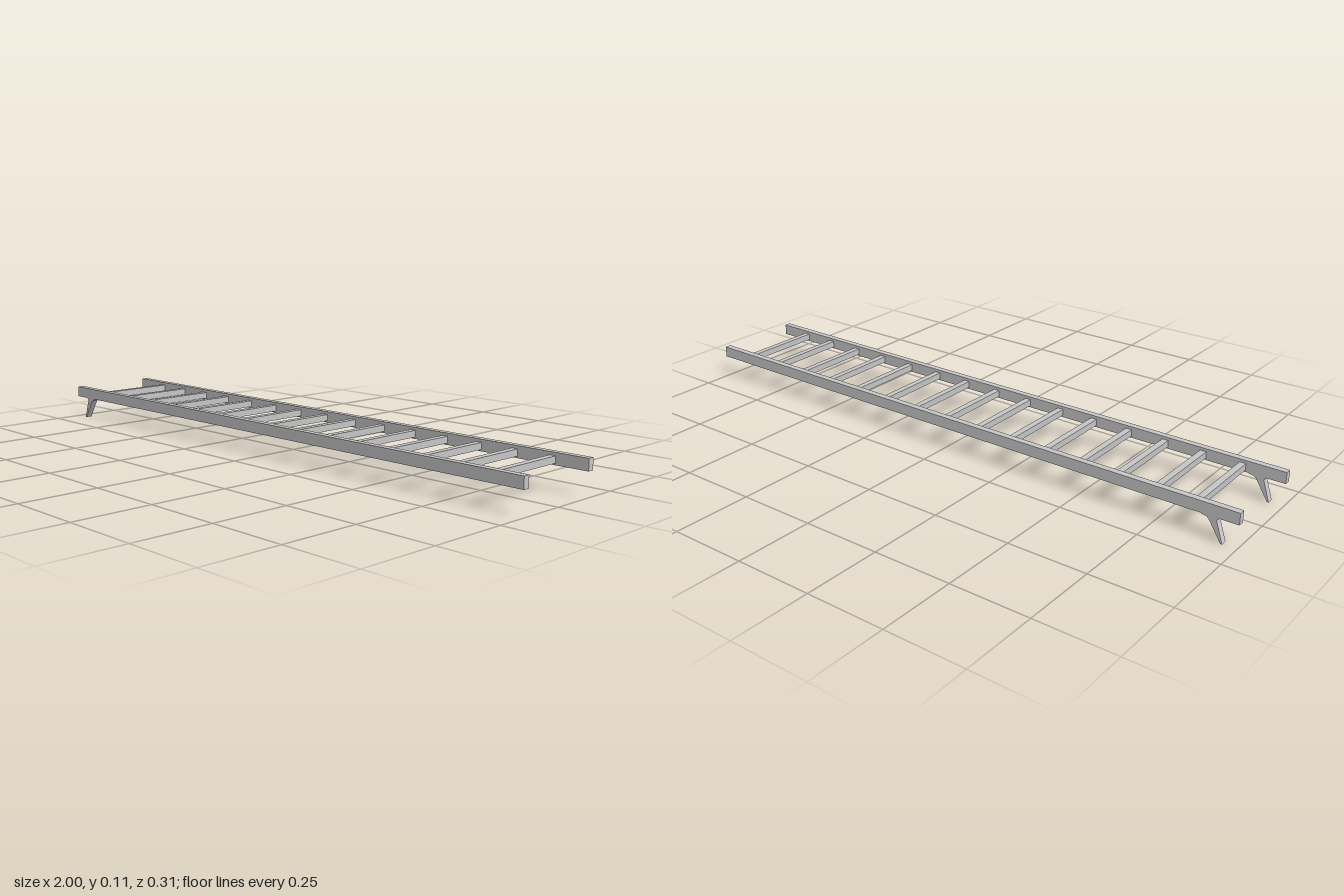
import * as THREE from 'three';

export function createModel() {
  const model = new THREE.Group();
  model.name = 'ladder';
  const metal = new THREE.MeshStandardMaterial({ color: 0xc8c8c8 });
  metal.name = 'light grey metal';

  const RAIL_Z = 0.147, RAIL_W = 0.021;

  function add(name, geometry, x, y, z) {
    const mesh = new THREE.Mesh(geometry, metal);
    mesh.name = name;
    mesh.position.set(x, y, z);
    model.add(mesh);
  }

  // Hook profile: flared root under the rail, tapering to a slanted tip
  const hookShape = new THREE.Shape([
    [-0.957, 0], [-0.952, 0], [-0.911, 0.064], [-0.904, 0.069],
    [-0.888, 0.072], [-0.888, 0.074], [-0.942, 0.074], [-0.935, 0.066],
  ].map(([x, y]) => new THREE.Vector2(x, y)));
  const hook = new THREE.ExtrudeGeometry(hookShape, { depth: RAIL_W, bevelEnabled: false });
  hook.translate(0, 0, -RAIL_W / 2);

  // Side rails, each with a hook at one end
  const rail = new THREE.BoxGeometry(2, 0.036, RAIL_W);
  for (const [side, z] of [['front', RAIL_Z], ['rear', -RAIL_Z]]) {
    add(side + 'Rail', rail, 0, 0.0915, z);
    add(side + 'Hook', hook, 0, 0, z);
  }

  // Evenly spaced rungs between the rails
  const rung = new THREE.BoxGeometry(0.02, 0.021, 2 * RAIL_Z - RAIL_W);
  for (let i = 0; i < 15; i++) {
    add('rung' + (i + 1), rung, -0.867 + i * 0.1252, 0.0895, 0);
  }
  return model;
}
